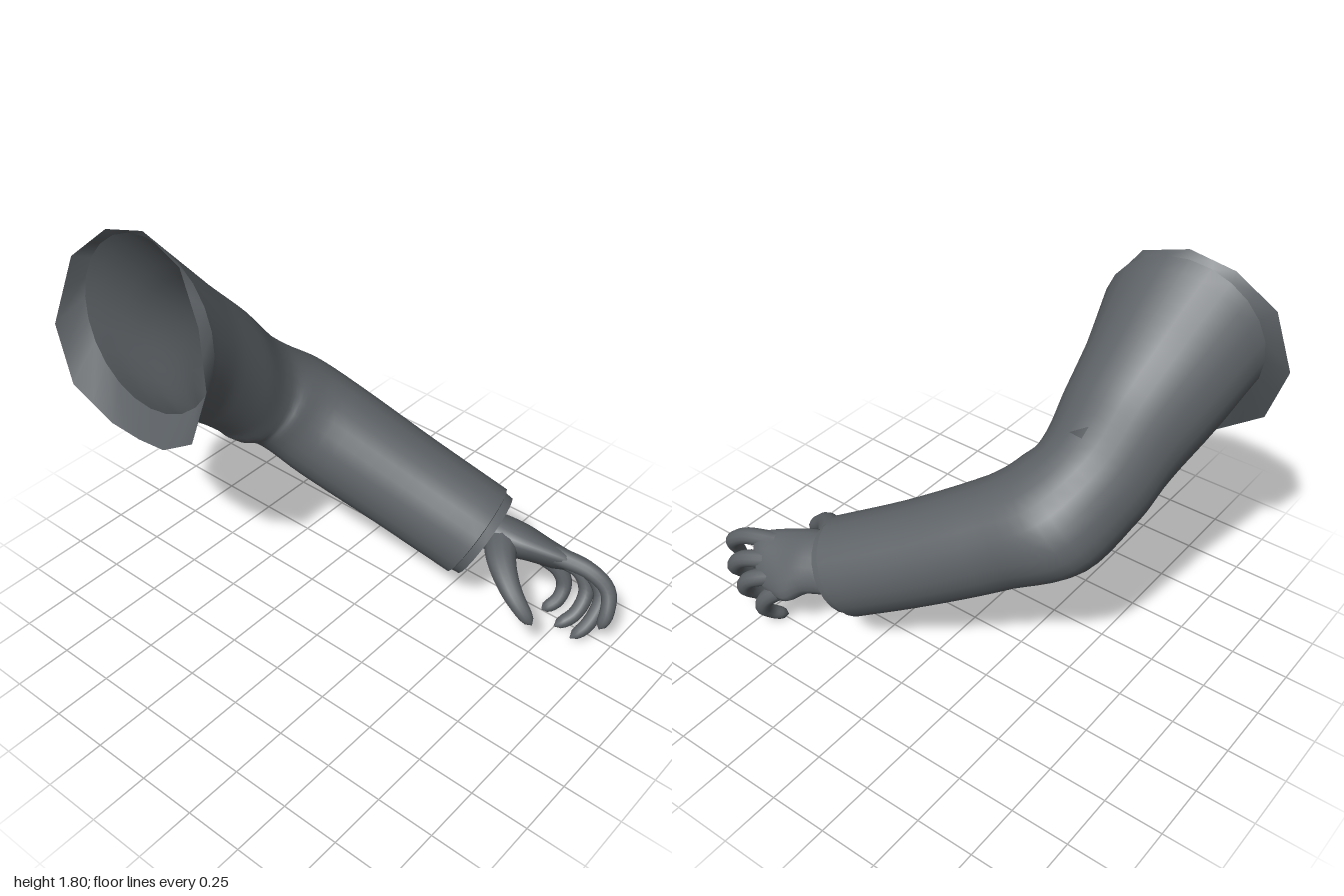
import * as THREE from 'three';

const V = (a) => new THREE.Vector3(...a);

// Joins rings of points into a smooth skin; skip(row, column) leaves out a triangle
function loft(rings, skip = () => false) {
  const n = rings[0].length, index = [];
  for (let i = 0; i < rings.length - 1; i++) {
    for (let j = 0; j < n; j++) {
      const k = (j + 1) % n, a = i * n + j, b = i * n + k, c = a + n, d = b + n;
      index.push(a, c, b);
      if (!skip(i, j)) index.push(b, c, d);
    }
  }
  const geo = new THREE.BufferGeometry().setFromPoints(rings.flat());
  geo.setIndex(index);
  geo.computeVertexNormals();
  return geo;
}

// Ellipse of n points from a centre and two half-axes
function ring(c, u, v, n) {
  return Array.from({ length: n }, (_, j) => {
    const t = (j / n) * Math.PI * 2;
    return c.clone().addScaledVector(u, Math.cos(t)).addScaledVector(v, Math.sin(t));
  });
}

// Rings interpolated smoothly between [centre, u, v] sections
function sections(list, steps, n) {
  const curves = [0, 1, 2].map((k) => new THREE.CatmullRomCurve3(list.map((s) => V(s[k]))));
  return Array.from({ length: steps + 1 }, (_, i) =>
    ring(...curves.map((c) => c.getPoint(i / steps)), n));
}

// Tapered finger with a rounded tip
function finger(points, r0, r1) {
  const curve = new THREE.CatmullRomCurve3(points.map(V)), steps = 20;
  const frames = curve.computeFrenetFrames(steps, false);
  const rings = [];
  for (let i = 0; i <= steps; i++) {
    const t = i / steps, tip = Math.max(0, (t - 0.86) / 0.14);
    const r = (r0 + (r1 - r0) * t) * Math.sqrt(Math.max(1e-5, 1 - tip * tip));
    rings.push(ring(curve.getPointAt(t), frames.normals[i].clone().multiplyScalar(r),
      frames.binormals[i].clone().multiplyScalar(r), 12));
  }
  return loft(rings);
}

export function createModel() {
  const model = new THREE.Group();
  const grey = new THREE.MeshStandardMaterial({ color: 0x5e6367, side: THREE.DoubleSide });
  grey.name = 'slate grey';
  const add = (name, geo, parent = model) => {
    const mesh = new THREE.Mesh(geo, grey);
    mesh.name = name;
    parent.add(mesh);
  };

  // Sleeve: upper arm, mitred elbow, forearm
  const N = 24;
  const fu = (r) => [0.5 * r, 0.5 * r, 0.7 * r], fv = (r) => [0.2 * r, 0.72 * r, -0.66 * r];
  const sleeve = sections([
    [[-0.6, 1.44, 0.495], [0.345, 0, -0.01], [-0.03, 0.34, -0.055]],
    [[-0.577, 1.28, 0.34], [0.297, 0, 0], [0, 0.28, -0.08]],
    [[-0.54, 1.115, 0.175], [0.26, 0, 0.01], [0, 0.255, -0.085]],
    [[-0.51, 0.97, 0.06], [0.235, 0.02, 0.03], [0.01, 0.2, -0.12]],
    [[-0.44, 0.86, -0.085], [0.2, 0.08, 0.15], [0.045, 0.16, -0.145]],
    [[-0.27, 0.74, -0.165], fu(0.228), fv(0.228)],
    [[0.05, 0.55, -0.285], fu(0.22), fv(0.22)],
    [[0.36, 0.385, -0.385], fu(0.217), fv(0.217)],
  ], 35, N);
  // small triangular tear above the elbow
  add('sleeve', loft(sleeve, (i, j) => i === 13 && j === 5));

  // Flared shoulder rim, straight-edged with twelve corners
  const corners = [
    [-0.22, 1.34, 0.57], [-0.29, 1.56, 0.52], [-0.42, 1.74, 0.47], [-0.62, 1.812, 0.455],
    [-0.8, 1.77, 0.48], [-0.95, 1.63, 0.54], [-1, 1.35, 0.625], [-0.92, 1.11, 0.64],
    [-0.74, 0.99, 0.615], [-0.6, 0.965, 0.6], [-0.46, 0.98, 0.6], [-0.28, 1.1, 0.61],
  ].map(V);
  const rim = corners.flatMap((p, i) => [p, p.clone().lerp(corners[(i + 1) % 12], 0.5)]);
  add('shoulderRim', loft([rim, sleeve[0]]));

  // Cuff: shoulder step, narrow band, then a lip folded inside
  const axis = V([0.85, -0.45, -0.28]).normalize(), end = V([0.36, 0.385, -0.385]);
  const cuffRing = (d, r) => ring(end.clone().addScaledVector(axis, d), V(fu(r)), V(fv(r)), N);
  add('cuffEdge', loft([cuffRing(0, 0.217), cuffRing(0.004, 0.202)]));
  add('cuffBand', loft([cuffRing(0.004, 0.202), cuffRing(0.042, 0.198)]));
  add('cuffLining', loft([cuffRing(0.042, 0.198), cuffRing(0.042, 0.188), cuffRing(-0.12, 0.185)]));

  // Hand: wrist and palm, closed at the knuckles
  const hand = new THREE.Group();
  hand.name = 'hand';
  model.add(hand);
  add('palm', loft(sections([
    [[0.3, 0.4, -0.38], [0.03, 0.09, 0.09], [0.02, 0.06, -0.07]],
    [[0.42, 0.385, -0.425], [0.03, 0.09, 0.09], [0.02, 0.06, -0.065]],
    [[0.52, 0.37, -0.455], [0.04, 0.09, 0.1], [0.015, 0.055, -0.06]],
    [[0.61, 0.335, -0.5], [0.065, 0.1, 0.1], [0.015, 0.045, -0.045]],
    [[0.7, 0.315, -0.525], [0.08, 0.09, 0.075], [0.015, 0.035, -0.035]],
    [[0.745, 0.305, -0.54], [0.065, 0.07, 0.055], [0.01, 0.022, -0.022]],
    [[0.765, 0.3, -0.545], [0.002, 0.002, 0.002], [0.001, 0.001, -0.001]],
  ], 24, 20)), hand);

  const fingers = {
    indexFinger: [[0.7, 0.39, -0.46], [0.87, 0.36, -0.495], [0.95, 0.3, -0.5], [0.978, 0.22, -0.46], [0.97, 0.15, -0.425]],
    middleFinger: [[0.66, 0.34, -0.51], [0.83, 0.295, -0.56], [0.9, 0.21, -0.55], [0.9, 0.11, -0.46], [0.86, 0.055, -0.39]],
    ringFinger: [[0.62, 0.3, -0.54], [0.76, 0.24, -0.595], [0.81, 0.16, -0.585], [0.81, 0.08, -0.51], [0.76, 0.035, -0.425]],
    littleFinger: [[0.57, 0.27, -0.55], [0.66, 0.19, -0.595], [0.695, 0.12, -0.595], [0.695, 0.06, -0.55], [0.655, 0.022, -0.49]],
  };
  for (const [name, path] of Object.entries(fingers)) add(name, finger(path, 0.042, 0.028), hand);
  add('thumb', finger([[0.47, 0.4, -0.41], [0.56, 0.395, -0.28], [0.67, 0.345, -0.2], [0.75, 0.285, -0.18], [0.79, 0.24, -0.185]], 0.08, 0.026), hand);

  return model;
}
